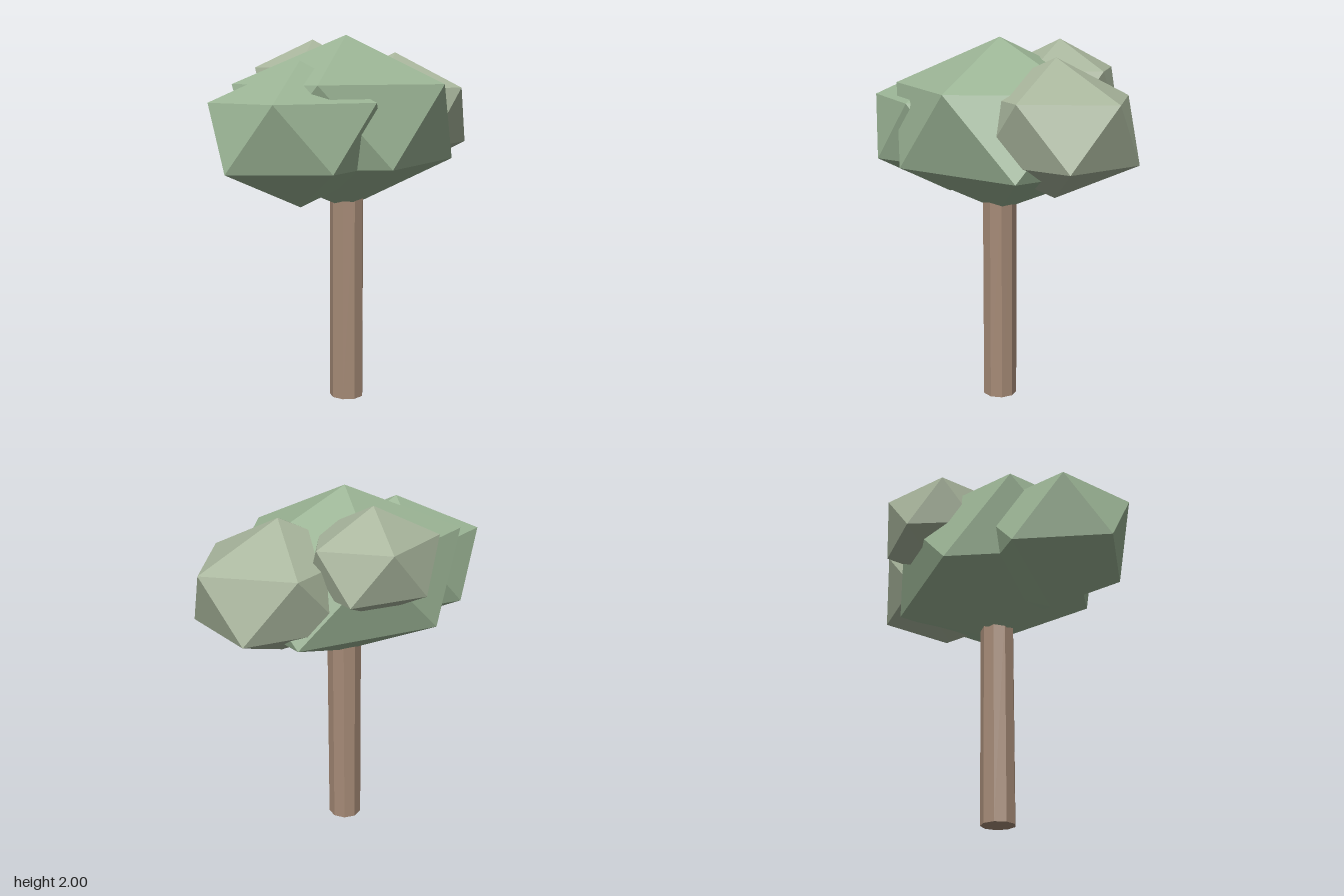
import * as THREE from 'three';

const paint = (color) => new THREE.MeshStandardMaterial({ color, flatShading: true });

// Unit icosahedron with a corner straight up and an upper-ring corner towards +x
function leafGeometry(rx, ry, rz) {
  const geometry = new THREE.IcosahedronGeometry(1, 0);
  geometry.rotateX(-Math.atan((1 + Math.sqrt(5)) / 2));
  geometry.rotateY(Math.PI / 2);
  geometry.scale(rx, ry, rz);
  geometry.computeVertexNormals();
  return geometry;
}

export function createModel() {
  const tree = new THREE.Group();
  tree.name = 'tree';

  // Nine-sided trunk, its top hidden in the foliage
  const height = 1.2;
  const trunk = new THREE.Mesh(
    new THREE.CylinderGeometry(0.094, 0.094, height, 9, 1, false, Math.PI),
    paint(0xa58a76)
  );
  trunk.name = 'trunk';
  trunk.position.set(0.002, height / 2, 0.062);
  tree.add(trunk);

  // Overlapping faceted leaf clumps: name, centre, radii, colour
  const clumps = [
    ['mainFoliage', [0, 1.534, 0.057], [0.744, 0.468, 0.597], 0x9ab394],
    ['leftFoliage', [0.435, 1.559, 0.035], [0.52, 0.356, 0.43], 0xa7b49b],
    ['rightFoliage', [-0.403, 1.49, 0.113], [0.562, 0.373, 0.447], 0x9ab394],
    ['backFoliage', [0.09, 1.703, -0.285], [0.39, 0.283, 0.335], 0xa7b49b],
  ];
  for (const [name, centre, radii, color] of clumps) {
    const clump = new THREE.Mesh(leafGeometry(...radii), paint(color));
    clump.name = name;
    clump.position.set(...centre);
    tree.add(clump);
  }
  return tree;
}
